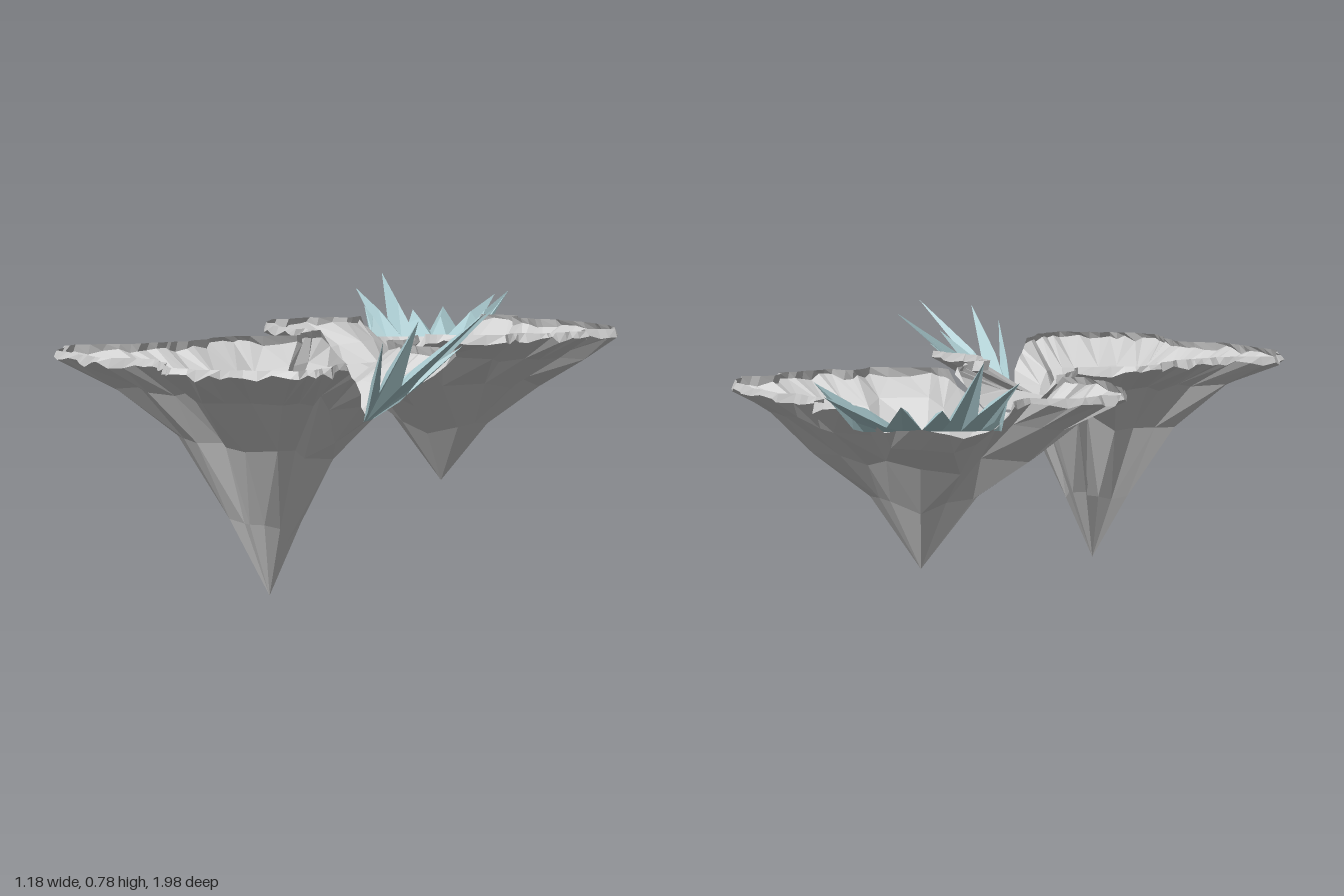
import * as THREE from 'three';

const stone = new THREE.MeshStandardMaterial({ color: 0xcccccc, flatShading: true, side: THREE.DoubleSide });
const crystal = new THREE.MeshStandardMaterial({ color: 0xaccdd2, flatShading: true, side: THREE.DoubleSide });

// small seeded noise in -1..1
function makeNoise(seed) {
  let s = seed;
  return () => {
    s = (s * 16807) % 2147483647;
    return (s / 2147483647) * 2 - 1;
  };
}

function facetMesh(name, positions, material) {
  const geo = new THREE.BufferGeometry();
  geo.setAttribute('position', new THREE.Float32BufferAttribute(positions, 3));
  geo.computeVertexNormals();
  const mesh = new THREE.Mesh(geo, material);
  mesh.name = name;
  return mesh;
}

// rim outlines in hundredths: [x, z, optional rim height where the rim dips]
const FRONT_RIM = [
  [-23, -6], [-23, 3], [-20, 12], [-31, 20], [-36, 26], [-37, 39], [-40, 46], [-44, 51], [-48, 58],
  [-58, 65], [-59, 69], [-54, 77], [-48, 82], [-39, 86], [-31, 89], [-22, 85], [-14, 86], [-9, 90],
  [-7, 94], [-1, 99], [10, 98], [17, 94], [28, 90], [32, 85], [33, 79], [30, 67], [28, 60, 60],
  [25, 49, 49], [33, 36, 57], [37, 23], [29, 21], [20, 21], [10, 12], [14, 6], [10, 0], [10, -6], [0, -7, 55], [-14, -7, 55],
];
const BACK_RIM = [
  [-56, -28], [-50, -16], [-40, -7], [-31, -3], [-26, -6], [-14, -6, 54], [0, -6, 54], [10, -9], [16, -9],
  [32, -17], [32, -25], [40, -28], [43, -34], [47, -41], [44, -46], [51, -52], [47, -60], [39, -66],
  [24, -72], [16, -71], [6, -74], [5, -80], [-7, -78], [-15, -77, 59], [-23, -73, 60], [-33, -69, 58],
  [-38, -62, 60], [-38, -53], [-38, -45], [-50, -40], [-52, -31],
];

// hollow rock: rings run from the pointed root out to a ragged rim, coarser toward the root
function makeIsland(name, rim, tip, rings, seed) {
  const noise = makeNoise(seed);
  const outline = [];
  const low = (p) => (p[2] ?? 63.5) / 100;
  rim.forEach((p, i) => {
    const q = rim[(i + 1) % rim.length];
    for (let k = 0; k < 3; k++) {
      const t = k / 3;
      const wobble = k ? 0.01 : 0;
      const dip = !!(p[2] || (k && q[2]));
      outline.push({
        x: THREE.MathUtils.lerp(p[0], q[0], t) / 100 + noise() * wobble,
        z: THREE.MathUtils.lerp(p[1], q[1], t) / 100 + noise() * wobble,
        y: THREE.MathUtils.lerp(low(p), low(q), t) + (dip ? 0 : noise() * 0.01),
        dip,
      });
    }
  });
  const n = outline.length;

  const loops = rings.map(([s, f, step, neckY]) => {
    const points = outline.map((p) => {
      const r = s * (1 + noise() * 0.06);
      const onNeck = neckY && p.z < 0.16;
      const y = onNeck ? neckY : tip[1] + (p.y - tip[1]) * f;
      return [tip[0] + (p.x - tip[0]) * r, y + noise() * 0.012, tip[2] + (p.z - tip[2]) * r];
    });
    return points.map((_, i) => points[(Math.round(i / step) * step) % n]);
  });
  loops.unshift(outline.map(() => tip));
  loops.push(outline.map((p) => [p.x, p.y, p.z]));
  // thin upright lip, open where the rim dips
  loops.push(outline.map((p) => {
    const k = p.dip ? 1 : 0.98 + noise() * 0.01;
    return [tip[0] + (p.x - tip[0]) * k, p.dip ? p.y : 0.655, tip[2] + (p.z - tip[2]) * k];
  }));

  const pos = [];
  const tri = (a, b, c) => {
    const same = (u, v) => u.every((w, k) => w === v[k]);
    if (!same(a, b) && !same(b, c) && !same(a, c)) pos.push(...a, ...b, ...c);
  };
  for (let k = 0; k + 1 < loops.length; k++) {
    for (let i = 0; i < n; i++) {
      const j = (i + 1) % n;
      tri(loops[k][i], loops[k + 1][j], loops[k + 1][i]);
      tri(loops[k][i], loops[k][j], loops[k + 1][j]);
    }
  }
  return facetMesh(name, pos, stone);
}

// joined fan of ridged crystal blades between two root points
function makeCrystalFan(name, rootA, rootB, tips) {
  const a = new THREE.Vector3(...rootA);
  const b = new THREE.Vector3(...rootB);
  const ends = tips.map((t) => new THREE.Vector3(...t));
  const n = ends.length;
  const root = (t) => a.clone().lerp(b, t);
  // notches between neighbouring blades
  const notch = (i) => {
    const left = ends[Math.max(i - 1, 0)];
    const right = ends[Math.min(i, n - 1)];
    const reach = i === 0 || i === n ? 0.22 : 0.42;
    const p = root(i / n).lerp(left.clone().add(right).multiplyScalar(0.5), reach);
    p.y -= 0.02;
    return p;
  };
  const group = new THREE.Group();
  group.name = name;
  ends.forEach((tip, i) => {
    const r0 = root(i / n);
    const r1 = root((i + 1) / n);
    const v0 = notch(i);
    const v1 = notch(i + 1);
    const ridge = root((i + 0.5) / n).lerp(tip, 0.4);
    ridge.y += 0.025;
    const faces = [
      [r0, v0, ridge], [r0, ridge, r1], [r1, ridge, v1], [v0, tip, ridge], [ridge, tip, v1],
      [r0, tip, v0], [r0, r1, tip], [r1, v1, tip],
    ];
    const pos = faces.flat().flatMap((p) => p.toArray());
    group.add(facetMesh(`crystalBlade${i + 1}`, pos, crystal));
  });
  return group;
}

export function createModel() {
  const model = new THREE.Group();
  model.name = 'floatingRocks';

  // rings: [radius fraction, height fraction, outline step, height on the neck]
  model.add(makeIsland('frontIsland', FRONT_RIM, [-0.03, 0, 0.53],
    [[0.19, 0.32, 9, 0.22], [0.42, 0.66, 6, 0.49], [0.7, 0.88, 3, 0.57]], 11));
  model.add(makeIsland('backIsland', BACK_RIM, [-0.04, 0.165, -0.45],
    [[0.28, 0.41, 9], [0.56, 0.68, 6], [0.8, 0.87, 3]], 29));

  // crystals growing out of the rims
  model.add(makeCrystalFan('sideCrystals', [0.25, 0.485, 0.47], [0.25, 0.485, 0.51], [
    [0.465, 0.77, 0.18], [0.42, 0.67, 0.29], [0.44, 0.7, 0.38], [0.59, 0.78, 0.49],
    [0.46, 0.76, 0.6], [0.4, 0.71, 0.67],
  ]));
  model.add(makeCrystalFan('backCrystals', [-0.36, 0.585, -0.57], [-0.08, 0.585, -0.76], [
    [-0.41, 0.68, -0.61], [-0.49, 0.73, -0.69], [-0.42, 0.78, -0.74], [-0.32, 0.66, -0.77],
    [-0.24, 0.67, -0.83], [-0.13, 0.705, -0.99], [-0.04, 0.725, -0.91],
  ]));
  return model;
}
